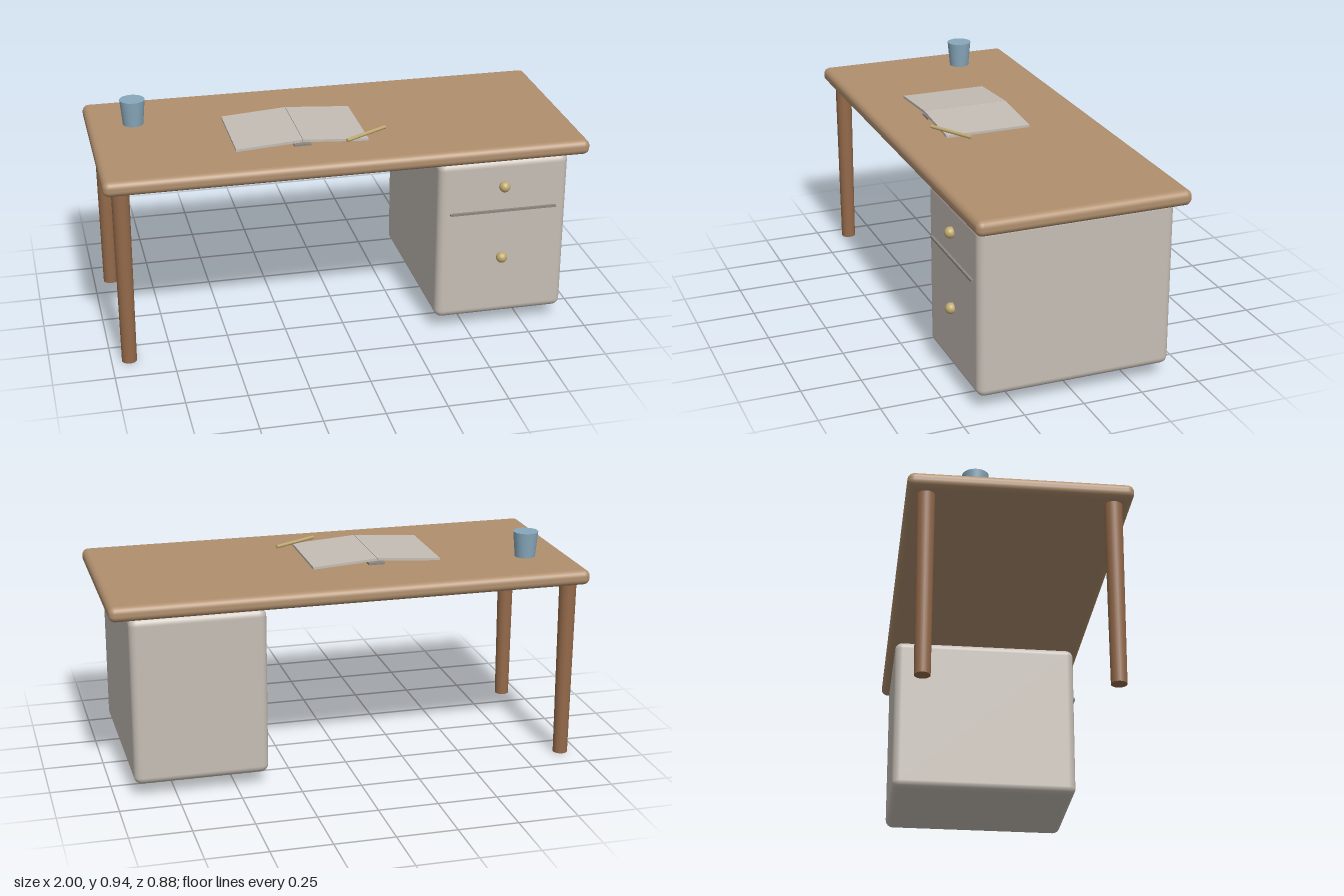
import * as THREE from 'three';
import { RoundedBoxGeometry } from 'three/addons/geometries/RoundedBoxGeometry.js';

const material = (name, color) => {
  const m = new THREE.MeshStandardMaterial({ color });
  m.name = name;
  return m;
};

export function createModel() {
  const desk = new THREE.Group();
  desk.name = 'desk';

  const topWood = material('light wood', 0xb08f6e);
  const legWood = material('dark wood', 0x946a4a);
  const paint = material('warm grey paint', 0xc6beb5);
  const slotGrey = material('slot grey', 0x8c867e);
  const brass = material('brass', 0xc0aa72);
  const blue = material('blue ceramic', 0x88a8bc);
  const paper = material('paper', 0xc4bdb5);

  const add = (name, geometry, mat, x, y, z) => {
    const mesh = new THREE.Mesh(geometry, mat);
    mesh.name = name;
    mesh.position.set(x, y, z);
    desk.add(mesh);
    return mesh;
  };

  // Worktop with softly rounded edges
  const topY = 0.828;
  add('worktop', new RoundedBoxGeometry(2, 0.063, 0.882, 5, 0.027), topWood, 0, topY - 0.0315, 0);

  // Two tapered legs on one end
  for (const side of [-1, 1]) {
    add(side > 0 ? 'frontLeg' : 'backLeg',
      new THREE.CylinderGeometry(0.036, 0.031, 0.77, 24), legWood, -0.927, 0.385, side * 0.366);
  }

  // Drawer cabinet on the other end
  add('cabinet', new RoundedBoxGeometry(0.555, 0.708, 0.816, 5, 0.033), paint, 0.643, 0.411, 0);
  add('drawerDivider', new THREE.BoxGeometry(0.454, 0.009, 0.022), slotGrey, 0.643, 0.539, 0.408);
  for (const [name, y] of [['upperKnob', 0.648], ['lowerKnob', 0.325]]) {
    add(name, new THREE.SphereGeometry(0.023, 24, 16), brass, 0.643, y, 0.418);
  }

  // Closed cup
  add('cup', new THREE.CylinderGeometry(0.053, 0.043, 0.109, 28), blue, -0.81, topY + 0.0545, -0.163);

  // Open book: two page blocks sloping down from the spine
  const pageShape = (side) => {
    const s = new THREE.Shape();
    const pts = [[0.001, 0.018], [0.001, 0.029], [0.275, 0.010], [0.275, 0]];
    pts.forEach(([x, y], i) => (i ? s.lineTo(x * side, y) : s.moveTo(x * side, y)));
    s.closePath();
    return s;
  };
  for (const side of [-1, 1]) {
    const page = new THREE.ExtrudeGeometry(pageShape(side), { depth: 0.37, bevelEnabled: false });
    add(side > 0 ? 'rightHandPage' : 'leftHandPage', page, paper, -0.165, topY, -0.135);
  }
  add('bookSpine', new THREE.BoxGeometry(0.07, 0.008, 0.365), slotGrey, -0.165, topY + 0.004, 0.05);

  // Pencil resting across the page corner
  const pencilGeometry = new THREE.CylinderGeometry(0.0075, 0.0075, 0.215, 12).rotateZ(Math.PI / 2);
  const pencil = add('pencil', pencilGeometry, brass, 0.105, 0.851, 0.213);
  pencil.rotation.y = Math.PI / 6;

  return desk;
}
